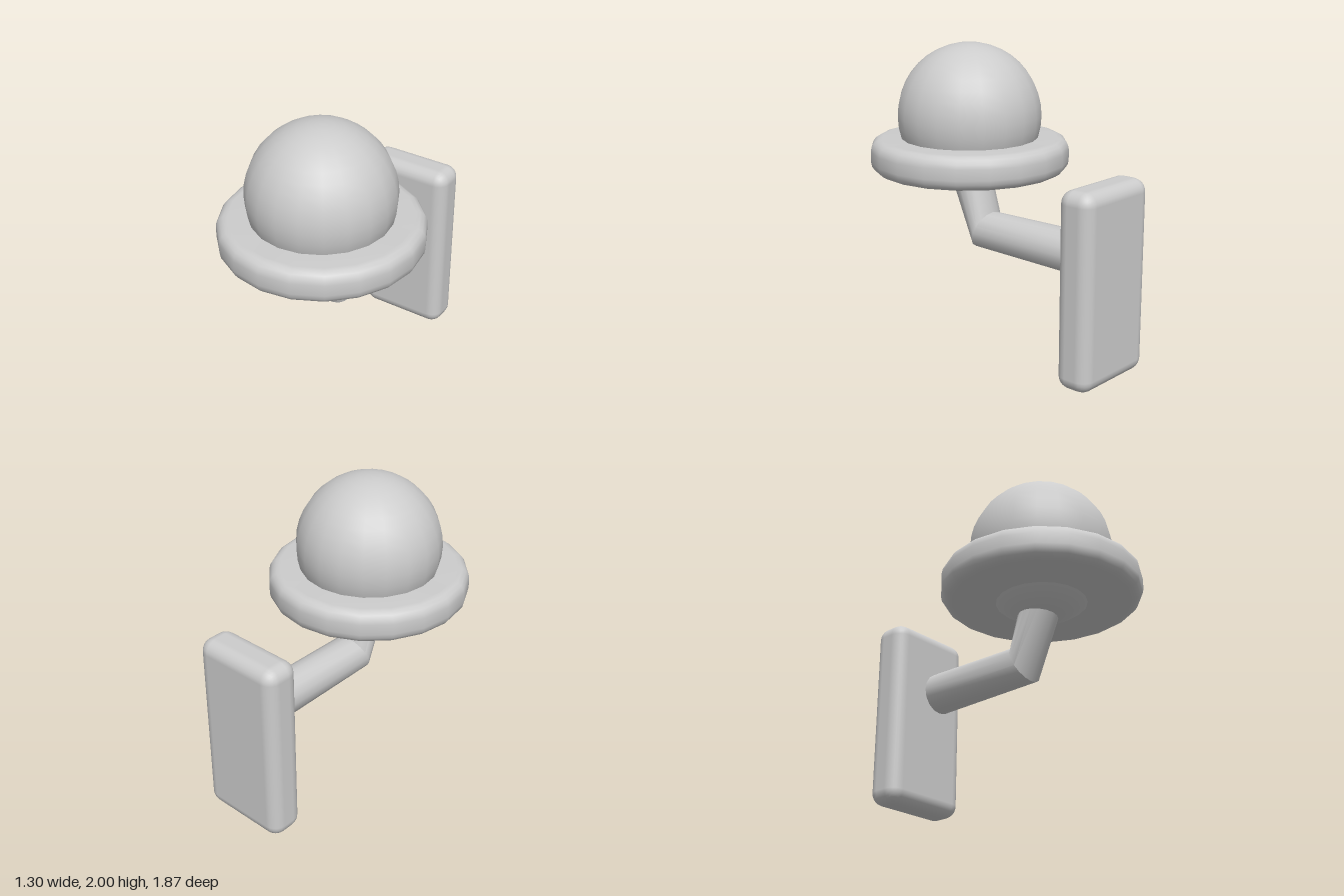
import * as THREE from 'three';
import { toCreasedNormals } from 'three/addons/utils/BufferGeometryUtils.js';
import { RoundedBoxGeometry } from 'three/addons/geometries/RoundedBoxGeometry.js';

const BALL_Z = 0.285;

// Disc with rounded rim, turned from a profile running bottom to top
function rimGeometry(radius, bottom, top, corner, sides) {
  const steps = 4;
  const pts = [new THREE.Vector2(0.25, bottom), new THREE.Vector2(radius - corner - 0.005, bottom)];
  for (const [cy, start] of [[bottom + corner, -Math.PI / 2], [top - corner, 0]]) {
    for (let i = 0; i <= steps; i++) {
      const a = start + (i / steps) * Math.PI / 2;
      pts.push(new THREE.Vector2(radius - corner + corner * Math.cos(a), cy + corner * Math.sin(a)));
    }
  }
  pts.push(new THREE.Vector2(radius - corner - 0.005, top), new THREE.Vector2(0.25, top));
  return toCreasedNormals(new THREE.LatheGeometry(pts, sides), 0.6);
}

// Bent bar through elliptical sections: centre (y, z) and half-height vector (uy, uz)
function armGeometry(sections, halfWidth, sides) {
  const pos = [], index = [];
  for (const { y, z, uy, uz } of sections) {
    for (let j = 0; j < sides; j++) {
      const a = (j / sides) * Math.PI * 2;
      pos.push(halfWidth * Math.cos(a), y + uy * Math.sin(a), z + uz * Math.sin(a));
    }
  }
  for (let i = 0; i < sections.length - 1; i++) {
    for (let j = 0; j < sides; j++) {
      const k = (j + 1) % sides;
      const a = i * sides + j, b = i * sides + k;
      index.push(a, b, b + sides, a, b + sides, a + sides);
    }
  }
  // Cap on the rear end
  const centre = pos.length / 3;
  pos.push(0, sections[0].y, sections[0].z);
  for (let j = 0; j < sides; j++) index.push(centre, (j + 1) % sides, j);
  const geo = new THREE.BufferGeometry();
  geo.setAttribute('position', new THREE.Float32BufferAttribute(pos, 3));
  geo.setIndex(index);
  return toCreasedNormals(geo, 0.6);
}

export function createModel() {
  const group = new THREE.Group();
  const grey = new THREE.MeshStandardMaterial({ color: 0xcccccc });
  grey.name = 'light grey';

  const add = (name, geometry, x, y, z) => {
    const mesh = new THREE.Mesh(geometry, grey);
    mesh.name = name;
    mesh.position.set(x, y, z);
    group.add(mesh);
  };

  // Upright back plate
  add('backPlate', new RoundedBoxGeometry(0.62, 1.25, 0.245, 3, 0.085), 0, 0.625, -0.8125);

  // Globe and the collar around it
  add('globe', new THREE.SphereGeometry(0.47, 20, 20), 0, 1.53, BALL_Z);
  add('collar', rimGeometry(0.65, 1.165, 1.385, 0.075, 20), 0, 0, BALL_Z);

  // Bent arm, mitred at the elbow and ending inside the globe
  add('arm', armGeometry([
    { y: 0.778, z: -0.61, uy: 0.137, uz: 0 },
    { y: 0.78, z: 0.137, uy: 0.125, uz: -0.053 },
    { y: 1.2, z: 0.298, uy: 0, uz: -0.141 },
  ], 0.135, 16), 0, 0, 0);

  return group;
}
